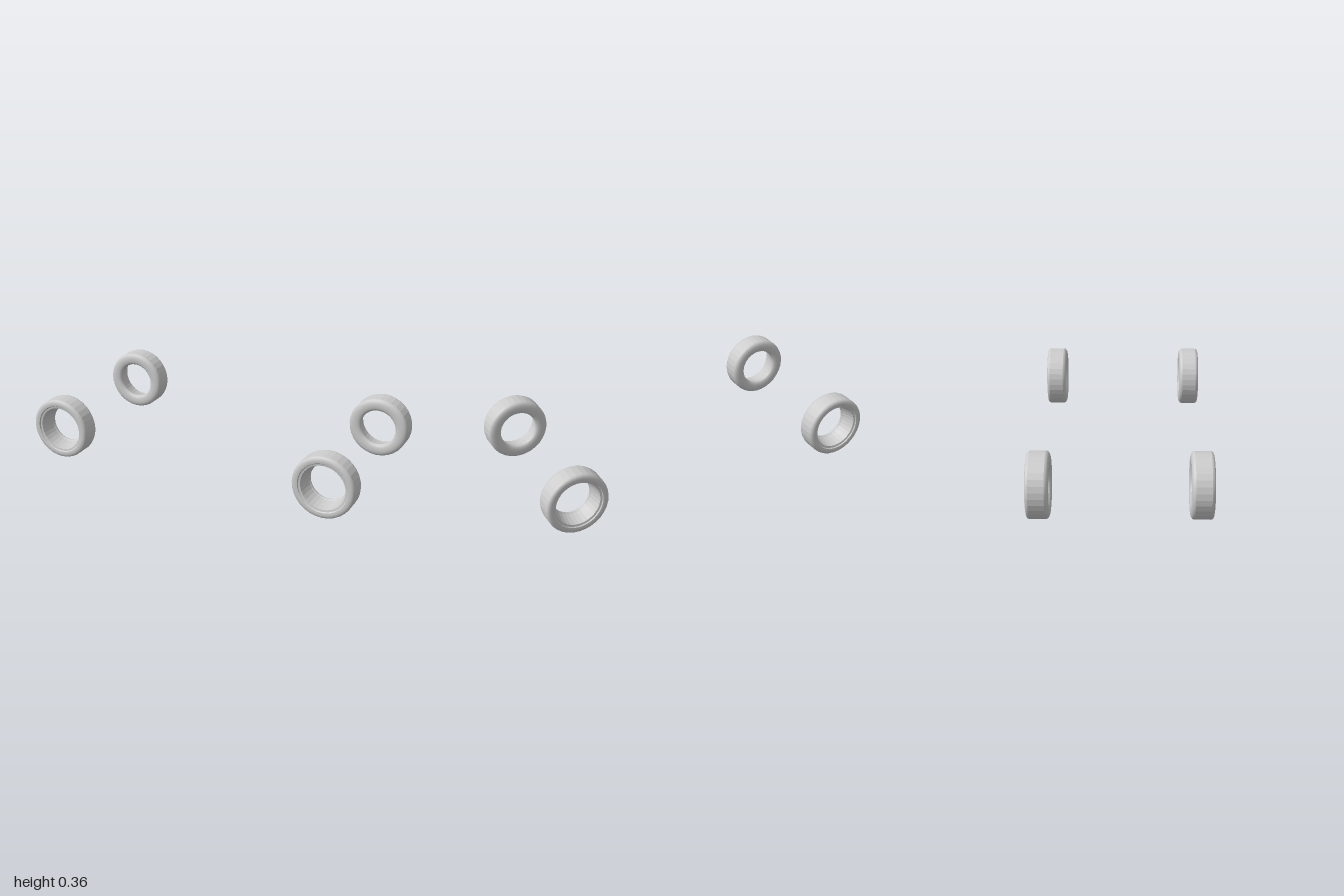
import * as THREE from 'three';

const SEGMENTS = 32;
const smooth = new THREE.MeshStandardMaterial({ color: 0xcccccc, side: THREE.DoubleSide });
const faceted = new THREE.MeshStandardMaterial({ color: 0xcccccc, side: THREE.DoubleSide, flatShading: true });

// Profiles as [radius, distance along the axle]; the outer side of the tyre is at 0.122
const BANDS = {
  innerSidewall: {
    material: smooth,
    profile: [[0.107, 0.02], [0.109, 0.012], [0.115, 0.006], [0.125, 0.002], [0.14, 0],
      [0.155, 0.001], [0.167, 0.005], [0.175, 0.012], [0.178, 0.021]],
  },
  tread: { material: faceted, profile: [[0.178, 0.021], [0.178, 0.105]] },
  outerSidewall: {
    material: smooth,
    profile: [[0.178, 0.105], [0.175, 0.114], [0.167, 0.12], [0.155, 0.122], [0.143, 0.12]],
  },
  rimLip: { material: faceted, profile: [[0.143, 0.12], [0.139, 0.114], [0.128, 0.112]] },
  barrel: {
    material: faceted,
    profile: [[0.128, 0.112], [0.123, 0.075], [0.113, 0.03], [0.107, 0.02]],
  },
};

// One hollow tyre, axle along z, outer side towards +z
function createTyre(name) {
  const tyre = new THREE.Group();
  tyre.name = name;
  for (const [part, { material, profile }] of Object.entries(BANDS)) {
    const points = profile.map(([r, w]) => new THREE.Vector2(r, w));
    const geometry = new THREE.LatheGeometry(points, SEGMENTS);
    geometry.rotateX(Math.PI / 2);
    const mesh = new THREE.Mesh(geometry, material);
    mesh.name = part;
    tyre.add(mesh);
  }
  return tyre;
}

export function createModel() {
  const model = new THREE.Group();
  model.name = 'tyreSet';

  // Four tyres, outer sides facing away from the middle
  for (const [end, sz] of [['front', 1], ['back', -1]]) {
    for (const [side, sx] of [['Left', 1], ['Right', -1]]) {
      const tyre = createTyre(`${end}${side}Tyre`);
      tyre.position.set(sx * 0.822, 0.178, sz * 0.363);
      if (sz < 0) tyre.rotation.y = Math.PI;
      model.add(tyre);
    }
  }
  return model;
}
